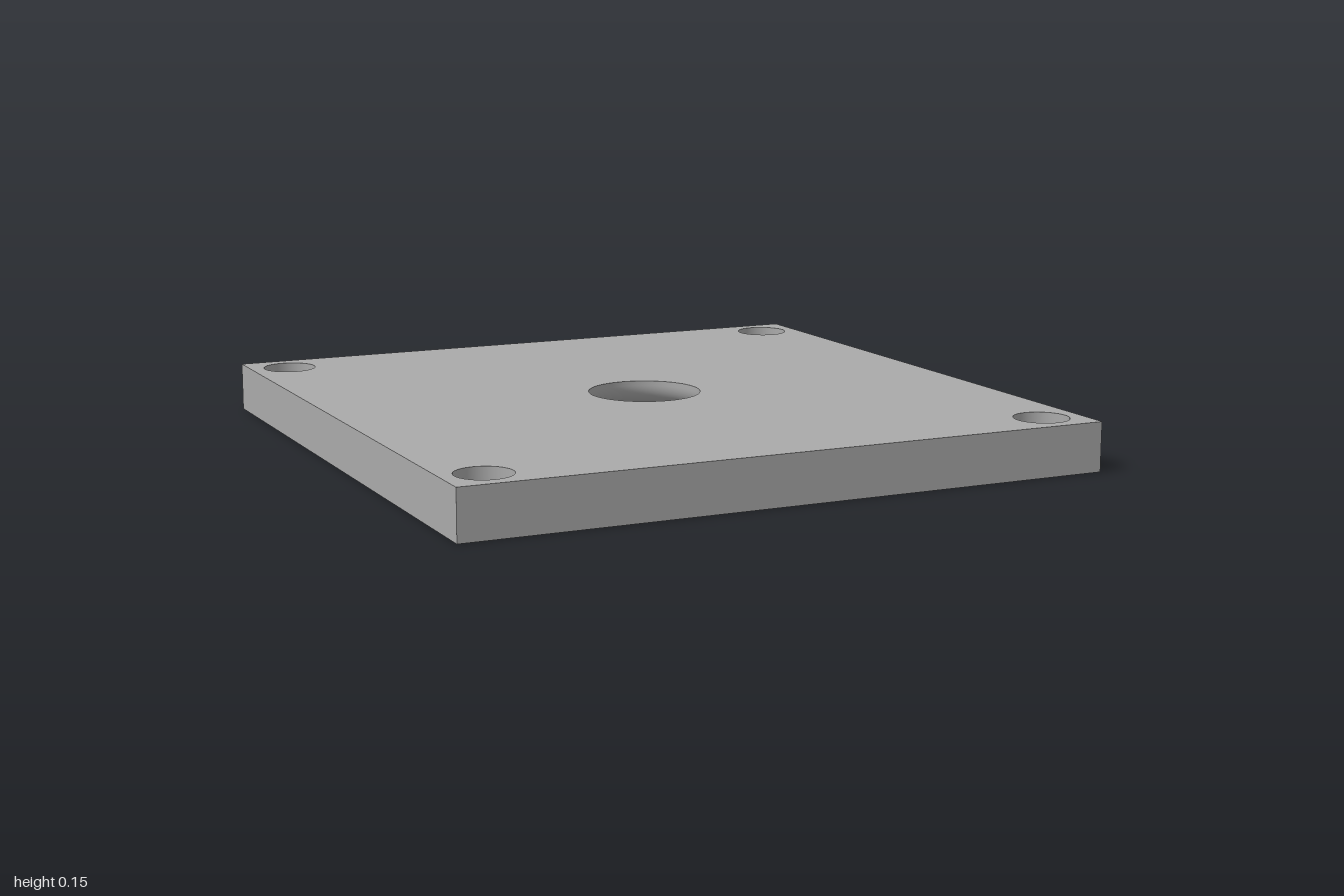
import * as THREE from 'three';

const H = 0.15;              // plate thickness
const FLOOR = 0.07;          // ceiling height of the underside pocket
const HOLE = 0.875;          // corner hole offset
const R_HOLE = 0.047, R_BORE = 0.083, BORE_Y = 0.075;
const R_MID = 0.173, FILLET = 0.065;
const SEG = 64;

// points of an arc, in plan
function arc(cx, cy, r, from, to, n) {
  return Array.from({ length: n + 1 }, (_, i) => {
    const a = from + (to - from) * i / n;
    return new THREE.Vector2(cx + r * Math.cos(a), cy + r * Math.sin(a));
  });
}
const circle = (x, y, r) => arc(x, y, r, 0, Math.PI * 2, SEG).slice(0, SEG);

// rounded square outline, counter-clockwise
function roundedSquare(s, r) {
  const c = s - r, q = Math.PI / 2;
  return [[c, c], [-c, c], [-c, -c], [c, -c]].flatMap(([x, y], i) => arc(x, y, r, i * q, (i + 1) * q, 16));
}

// flat face at height y with holes, facing up or down
function face(outline, holes, y, up) {
  const shape = new THREE.Shape(outline);
  holes.forEach(h => shape.holes.push(new THREE.Path(h)));
  return new THREE.ShapeGeometry(shape).rotateX(up ? -Math.PI / 2 : Math.PI / 2).translate(0, y, 0);
}

// inward-facing upright wall along a closed outline
function innerWall(outline, y0, y1) {
  const pos = [], idx = [], n = outline.length;
  outline.forEach((p, i) => {
    pos.push(p.x, y0, p.y, p.x, y1, p.y);
    const a = 2 * i, b = 2 * ((i + 1) % n);
    idx.push(a, b, a + 1, b, b + 1, a + 1);
  });
  const g = new THREE.BufferGeometry();
  g.setAttribute('position', new THREE.Float32BufferAttribute(pos, 3));
  g.setIndex(idx);
  g.computeVertexNormals();
  return g;
}

// revolved hole surface, profile listed from top to bottom
const revolve = pts => new THREE.LatheGeometry(pts.map(p => new THREE.Vector2(p[0], p[1])), SEG);

export function createModel() {
  const model = new THREE.Group();
  model.name = 'coverPlate';
  const grey = new THREE.MeshStandardMaterial({ color: 0xaaaaaa });
  grey.name = 'grey';
  const add = (name, geometry, parent = model) => {
    const mesh = new THREE.Mesh(geometry, grey);
    mesh.name = name;
    parent.add(mesh);
    return mesh;
  };

  const square = [[-1, -1], [1, -1], [1, 1], [-1, 1]].map(p => new THREE.Vector2(...p));
  const corners = [[HOLE, HOLE], [-HOLE, HOLE], [-HOLE, -HOLE], [HOLE, -HOLE]];
  const pocket = roundedSquare(0.9, 0.44);

  // flat faces
  add('topFace', face(square, [...corners.map(c => circle(...c, R_BORE)), circle(0, 0, R_MID)], H, true));
  add('bottomRim', face(square, [...corners.map(c => circle(...c, R_HOLE)), pocket], 0, false));
  add('pocketCeiling', face(pocket, [circle(0, 0, R_MID + FILLET)], FLOOR, false));

  // pocket wall and the four outer sides
  add('pocketWall', innerWall(pocket, 0, FLOOR));
  for (let i = 0; i < 4; i++) {
    add('outerSide', new THREE.PlaneGeometry(2, H).translate(0, H / 2, 1).rotateY(i * Math.PI / 2));
  }

  // centre opening, flaring into the pocket
  const flare = [[R_MID, H]];
  for (let i = 0; i <= 12; i++) {
    const a = i / 12 * Math.PI / 2;
    flare.push([R_MID + FILLET * (1 - Math.cos(a)), FLOOR + FILLET * (1 - Math.sin(a))]);
  }
  add('centreOpening', revolve(flare));

  // counterbored corner holes
  for (const [x, z] of corners) {
    const hole = new THREE.Group();
    hole.name = 'screwHole';
    hole.position.set(x, 0, z);
    add('counterboreWall', revolve([[R_BORE, H], [R_BORE, BORE_Y]]), hole);
    add('counterboreSeat', revolve([[R_BORE, BORE_Y], [R_HOLE, BORE_Y]]), hole);
    add('holeWall', revolve([[R_HOLE, BORE_Y], [R_HOLE, 0]]), hole);
    model.add(hole);
  }
  return model;
}
